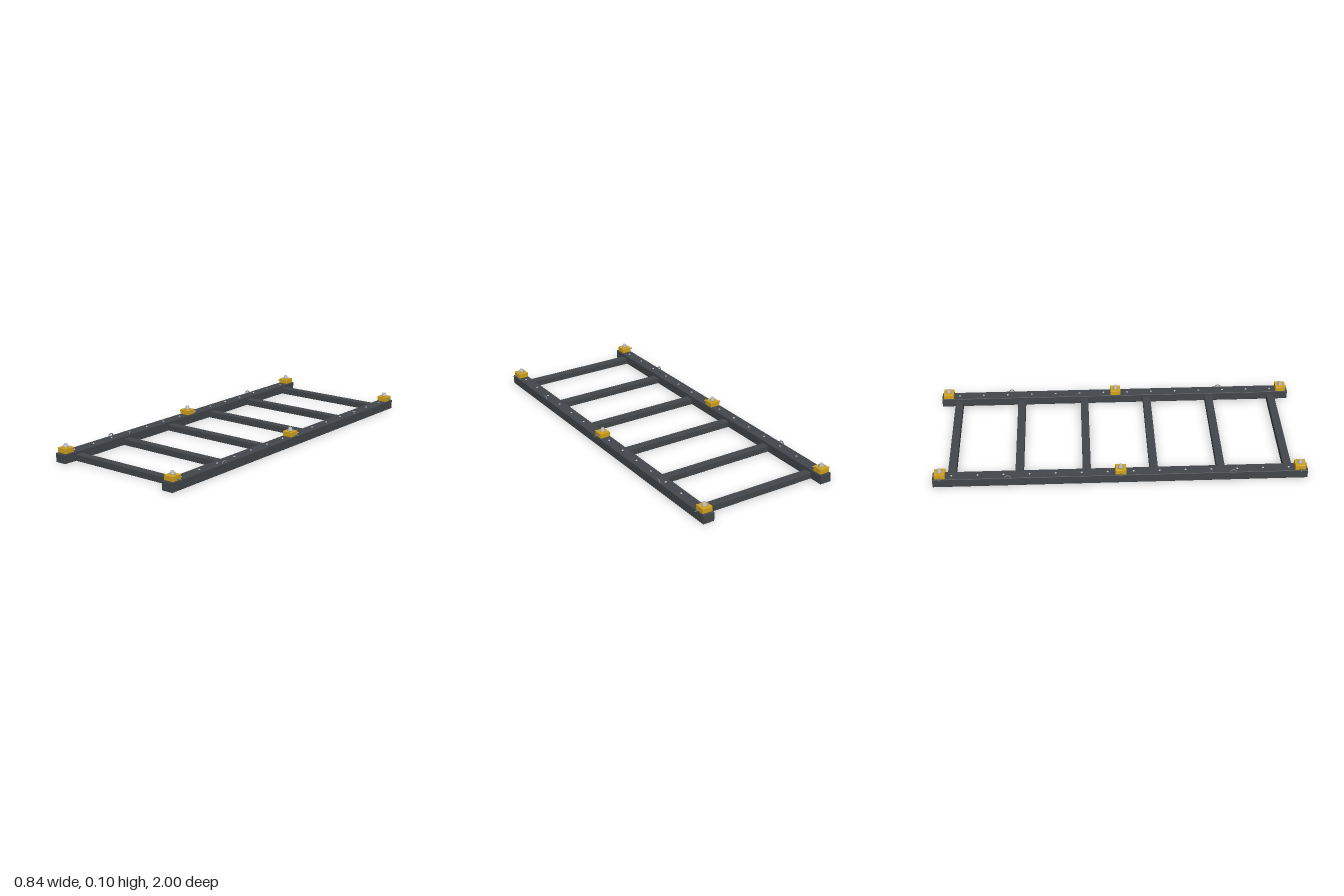
import * as THREE from 'three';
import { RoundedBoxGeometry } from 'three/addons/geometries/RoundedBoxGeometry.js';

const material = (name, color) => {
  const m = new THREE.MeshStandardMaterial({ color });
  m.name = name;
  return m;
};

export function createModel() {
  const frameGrey = material('frame grey', 0x43474b);
  const yellow = material('lock yellow', 0xd4a31c);
  const steel = material('steel', 0xb4b8bc);
  const darkSteel = material('dark steel', 0x75797d);

  const model = new THREE.Group();
  model.name = 'rackFrame';
  const add = (parent, name, geometry, mat, x, y, z) => {
    const mesh = new THREE.Mesh(geometry, mat);
    mesh.name = name;
    mesh.position.set(x, y, z);
    parent.add(mesh);
    return mesh;
  };

  // Shared shapes
  const rail = new RoundedBoxGeometry(0.066, 0.05, 2, 2, 0.003);
  const crossbar = new RoundedBoxGeometry(0.662, 0.035, 0.044, 2, 0.002);
  const block = new RoundedBoxGeometry(0.058, 0.028, 0.058, 2, 0.002);
  const cone = new THREE.LatheGeometry(
    [[0, 0], [0.0145, 0], [0.0145, 0.003], [0.0085, 0.0185], [0.007, 0.02], [0, 0.02]]
      .map(([r, y]) => new THREE.Vector2(r, y)), 16);
  const pin = new THREE.CylinderGeometry(0.0028, 0.0028, 0.03, 10).rotateZ(Math.PI / 2);
  const rivet = new THREE.CylinderGeometry(0.004, 0.006, 0.003, 10);
  const arch = new THREE.TorusGeometry(0.016, 0.003, 8, 16, Math.PI).rotateY(Math.PI / 2);

  // Crossbars between the rails
  for (let i = 0; i < 6; i++) {
    add(model, 'crossbar', crossbar, frameGrey, 0, 0.0175, -0.9 + i * 0.36);
  }

  for (const side of [-1, 1]) {
    const x = side * 0.364;
    add(model, side > 0 ? 'leftRail' : 'rightRail', rail, frameGrey, x, 0.025, 0);

    // Locking blocks with a tapered stud and a release pin
    for (const z of [-0.96, 0, 0.96]) {
      const lock = new THREE.Group();
      lock.name = 'twistLock';
      lock.position.set(x, 0.05, z);
      add(lock, 'lockBlock', block, yellow, 0, 0.014, 0);
      add(lock, 'lockStud', cone, steel, 0, 0.028, 0);
      add(lock, 'releasePin', pin, darkSteel, side * 0.0395, 0.01, 0);
      model.add(lock);
    }

    // Row of rivets along the rail top
    for (let i = 0; i < 14; i++) {
      add(model, 'rivet', rivet, steel, x, 0.0515, -0.9 + (i * 1.8) / 13);
    }

    // Tie-down loops at the outer edge
    for (const z of [-0.6, 0.6]) {
      add(model, 'tieLoop', arch, darkSteel, side * 0.393, 0.047, z);
    }
  }
  return model;
}
